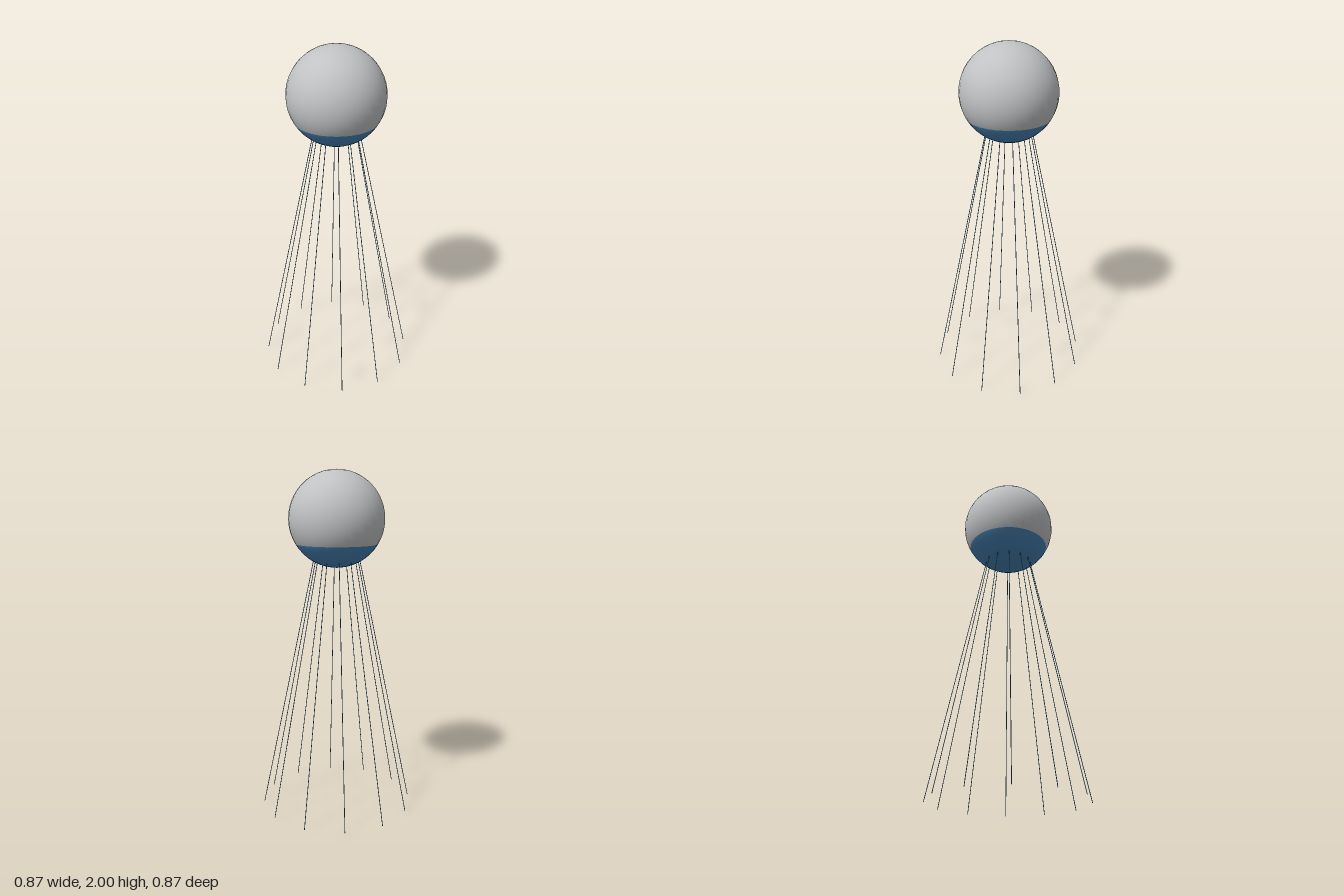
import * as THREE from 'three';

export function createModel() {
  const model = new THREE.Group();
  const silver = new THREE.MeshStandardMaterial({ color: 0xc0c2c4 });
  silver.name = 'silver';
  const blue = new THREE.MeshStandardMaterial({ color: 0x4682b4 });
  blue.name = 'steel blue';

  const radius = 0.277, centreY = 1.723;
  const split = Math.acos((1.582 - centreY) / radius); // polar angle of the colour boundary

  function add(name, geometry, material) {
    const mesh = new THREE.Mesh(geometry, material);
    mesh.name = name;
    model.add(mesh);
    return mesh;
  }

  // Ball: silver upper part and blue lower cap share one spherical surface
  add('ballUpper', new THREE.SphereGeometry(radius, 32, 16, 0, Math.PI * 2, 0, split), silver)
    .position.y = centreY;
  add('ballLowerCap', new THREE.SphereGeometry(radius, 32, 8, 0, Math.PI * 2, split, Math.PI - split), blue)
    .position.y = centreY;

  // Twelve thin legs splayed out from the lower cap to the ground
  const legs = new THREE.Group();
  legs.name = 'legs';
  model.add(legs);
  const up = new THREE.Vector3(0, 1, 0);
  for (let i = 0; i < 12; i++) {
    const angle = Math.PI / 12 + i * Math.PI / 6;
    const at = (r, y) => new THREE.Vector3(r * Math.cos(angle), y, r * Math.sin(angle));
    const foot = at(0.45, 0), top = at(0.132, 1.5);
    const axis = top.clone().sub(foot);
    const leg = new THREE.Mesh(new THREE.CylinderGeometry(0.002, 0.002, axis.length(), 8), blue);
    leg.name = 'leg' + (i + 1);
    leg.position.copy(foot).add(top).multiplyScalar(0.5);
    leg.quaternion.setFromUnitVectors(up, axis.normalize());
    legs.add(leg);
  }
  return model;
}
